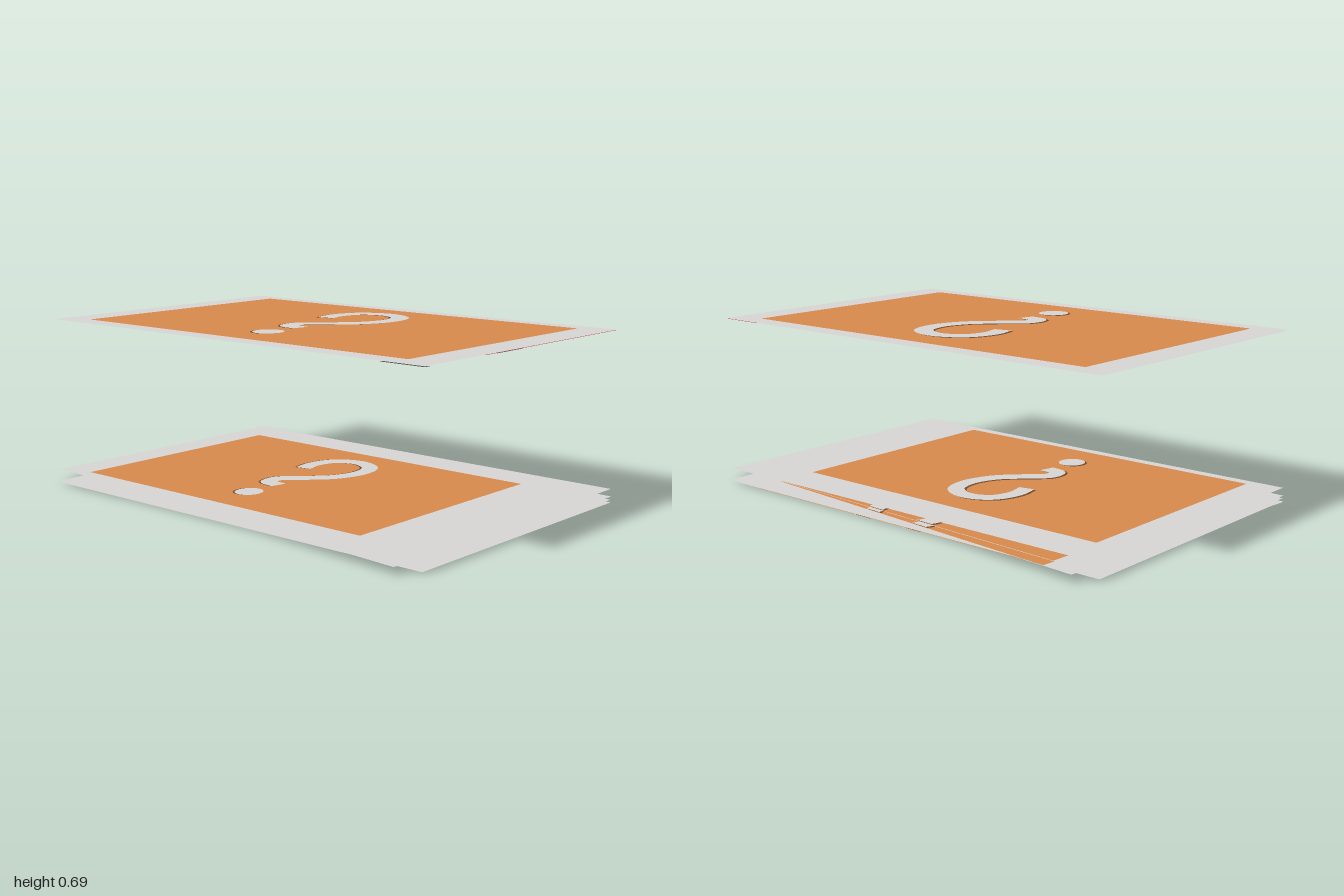
import * as THREE from 'three';

const flat = (name, color) => {
  const m = new THREE.MeshStandardMaterial({ color, side: THREE.DoubleSide });
  m.name = name;
  return m;
};

const HALF_W = 0.948, HALF_D = 0.608, STEP = 0.0015;

// flat horizontal quad from its left/right/back/front limits
function plate(name, material, x0, x1, z0, z1, y) {
  const geo = new THREE.PlaneGeometry(x1 - x0, z1 - z0).rotateX(-Math.PI / 2);
  const mesh = new THREE.Mesh(geo, material);
  mesh.name = name;
  mesh.position.set((x0 + x1) / 2, y, (z0 + z1) / 2);
  return mesh;
}

// hooked stroke plus dot, kept inside the card's back edge
const hook = new THREE.CatmullRomCurve3([
  [-0.125, -0.13], [-0.142, -0.22], [-0.105, -0.33], [0, -0.375], [0.105, -0.33],
  [0.138, -0.22], [0.10, -0.09], [0.01, 0.01], [-0.07, 0.09], [-0.06, 0.16], [0.015, 0.175]
].map(([x, z]) => new THREE.Vector3(x, 0, z)));

function markGeometry(cx, cz, sx, sz) {
  const pos = [], index = [];
  const add = (x, z) => pos.push(cx + x * sx, 0, Math.max(-HALF_D, cz + z * sz));
  const n = 48;
  for (let i = 0; i <= n; i++) {
    const p = hook.getPoint(i / n), t = hook.getTangent(i / n);
    for (const w of [-0.037, 0.037]) add(p.x - t.z * w, p.z + t.x * w);
    if (i < n) index.push(2 * i, 2 * i + 1, 2 * i + 2, 2 * i + 1, 2 * i + 3, 2 * i + 2);
  }
  // dot
  const c = pos.length / 3, k = 24;
  add(0, 0.34);
  for (let i = 0; i < k; i++) {
    const a = (i / k) * Math.PI * 2;
    add(Math.cos(a) * 0.06, 0.34 + Math.sin(a) * 0.063);
    index.push(c, c + 1 + ((i + 1) % k), c + 1 + i);
  }
  // keep the upward winding when mirrored
  if (sx < 0) index.reverse();
  const geo = new THREE.BufferGeometry();
  geo.setAttribute('position', new THREE.Float32BufferAttribute(pos, 3));
  geo.setAttribute('normal', new THREE.Float32BufferAttribute(pos.map((_, i) => (i % 3 === 1 ? 1 : 0)), 3));
  geo.setIndex(index);
  return geo;
}

export function createModel() {
  const paper = flat('paperGrey', 0xd6d5d3);
  const orange = flat('panelOrange', 0xd6894c);
  const brown = flat('markShadowBrown', 0x70492c);
  const red = flat('bandRed', 0xb84848);
  const dark = flat('bandDark', 0x565656);

  const model = new THREE.Group();
  model.name = 'cardStack';

  // painted panel: orange field, thin shadow and mark, on the top (1) or underside (-1)
  function panel(card, side, [x0, x1, z0, z1], cx, cz, sx, sz) {
    const g = new THREE.Group();
    g.name = side > 0 ? 'topPanel' : 'undersidePanel';
    g.add(plate('panelField', orange, x0, x1, z0, z1, STEP));
    [['markShadow', brown, cx - 0.01, 2], ['hookMark', paper, cx, 3]].forEach(([name, mat, x, layer]) => {
      const geo = markGeometry(x, cz, sx, sz);
      const mesh = new THREE.Mesh(geo, mat);
      mesh.name = name;
      mesh.position.y = STEP * layer;
      g.add(mesh);
    });
    // turn the layers over without moving them sideways
    if (side < 0) for (const m of g.children) {
      m.position.y *= -1;
      const idx = m.geometry.index;
      idx.array.reverse();
      const nor = m.geometry.attributes.normal;
      for (let i = 0; i < nor.count; i++) nor.setY(i, -1);
    }
    card.add(g);
  }

  function addCard(name, y, degrees) {
    const card = new THREE.Group();
    card.name = name;
    card.position.y = y;
    card.rotation.y = THREE.MathUtils.degToRad(-degrees);
    card.add(plate('cardSheet', paper, -HALF_W, HALF_W, -HALF_D, HALF_D, 0));
    model.add(card);
    return card;
  }

  // stacked cards, fanned slightly
  const bottom = addCard('bottomCard', 0.005, 0);
  panel(bottom, -1, [-0.67, 0.77, -HALF_D, 0.19], 0.05, -0.34, -1, 1);
  addCard('secondCard', 0.014, -0.5);
  [['thirdCard', 0.03, 5], ['fourthCard', 0.044, 3]].forEach(([name, y, turn]) => {
    panel(addCard(name, y, turn), 1, [-0.82, 0.66, -HALF_D, 0.19], -0.06, -0.34, 1, 1);
  });
  const upper = addCard('upperStackCard', 0.06, 0);
  panel(upper, 1, [-0.81, 0.64, -0.44, 0.56], -0.08, 0.055, 0.9, 0.93);

  // raised card
  const raised = addCard('raisedCard', 0.69, 0);
  panel(raised, 1, [-0.82, 0.82, -0.53, 0.53], 0, 0, 1, 1);
  panel(raised, -1, [-0.58, 0.61, -0.4, 0.38], 0.02, -0.01, -0.73, 0.73);

  // red band with dark blocks along one end of its underside
  raised.add(plate('redBand', red, 0.76, HALF_W, -HALF_D, 0.27, -STEP));
  [[0.8, 0.92, -0.34, -0.22], [0.76, 0.9, -0.17, -0.04], [0.82, HALF_W, 0.04, 0.2], [0.76, HALF_W, 0.58, HALF_D]]
    .forEach(([x0, x1, z0, z1]) => raised.add(plate('darkBlock', dark, x0, x1, z0, z1, -STEP * 2)));
  raised.children.filter((m) => m.name === 'redBand' || m.name === 'darkBlock')
    .forEach((m) => { m.rotation.x = Math.PI; });

  return model;
}
